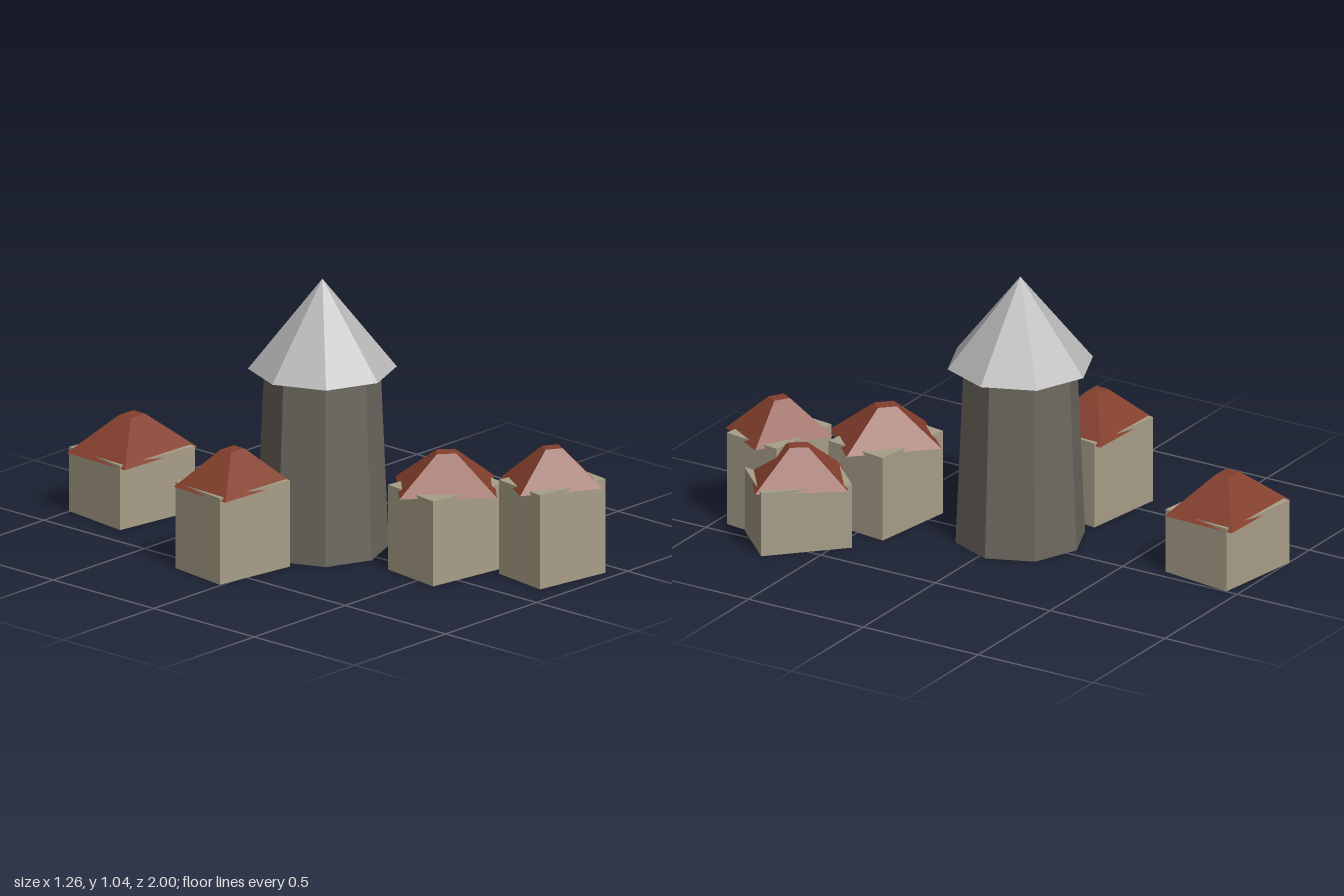
import * as THREE from 'three';

const mat = (color) => new THREE.MeshStandardMaterial({ color, flatShading: true });
const WALL = mat(0xa89e88), TILE = mat(0x843f2c), STONE = mat(0x6d6961), SLATE = mat(0xb8b8b8);

function part(name, geometry, material, y, parent) {
  const mesh = new THREE.Mesh(geometry, material);
  mesh.name = name;
  mesh.position.y = y;
  parent.add(mesh);
  return mesh;
}

// Hipped roof with a small flat top: a four-sided frustum squared to the axes
function hippedRoof(width, depth, height) {
  const r = Math.SQRT1_2;
  return new THREE.CylinderGeometry(r * 0.2, r, 1, 4)
    .rotateY(Math.PI / 4)
    .scale(width, height, depth)
    .toNonIndexed();
}

// Angles are in degrees, clockwise seen from above
function house({ x, z, walls: [w, h, d], wallTurn, roof: [rw, rd], roofTurn }) {
  const group = new THREE.Group();
  group.name = 'house';
  group.position.set(x, 0, z);
  const box = part('houseWalls', new THREE.BoxGeometry(w, h, d), WALL, h / 2, group);
  box.rotation.y = -THREE.MathUtils.degToRad(wallTurn);
  const rise = 0.138;
  const top = part('houseRoof', hippedRoof(rw, rd, rise), TILE, h - 0.013 + rise / 2, group);
  top.rotation.y = -THREE.MathUtils.degToRad(roofTurn);
  return group;
}

// Octagonal tower with a wide pointed roof
function tower() {
  const group = new THREE.Group();
  group.name = 'tower';
  group.position.set(-0.04, 0, -0.03);
  part('towerBody', new THREE.CylinderGeometry(0.215, 0.245, 0.695, 8), STONE, 0.3475, group);
  part('towerRoof', new THREE.ConeGeometry(0.275, 0.345, 8), SLATE, 0.8675, group);
  return group;
}

const HOUSES = [
  { x: -0.2, z: -0.832, walls: [0.36, 0.25, 0.293], wallTurn: 8, roof: [0.387, 0.298], roofTurn: 1.8 },
  { x: -0.445, z: -0.11, walls: [0.336, 0.335, 0.257], wallTurn: 8, roof: [0.347, 0.267], roofTurn: 2.5 },
  { x: 0.073, z: 0.485, walls: [0.344, 0.33, 0.26], wallTurn: 8, roof: [0.36, 0.276], roofTurn: 45 },
  { x: 0.295, z: 0.81, walls: [0.311, 0.365, 0.24], wallTurn: 8.5, roof: [0.318, 0.245], roofTurn: 31.5 },
  { x: 0.415, z: 0.65, walls: [0.346, 0.252, 0.252], wallTurn: 44, roof: [0.345, 0.265], roofTurn: 53 },
];

export function createModel() {
  const model = new THREE.Group();
  model.name = 'village';
  model.add(tower(), ...HOUSES.map(house));
  return model;
}
